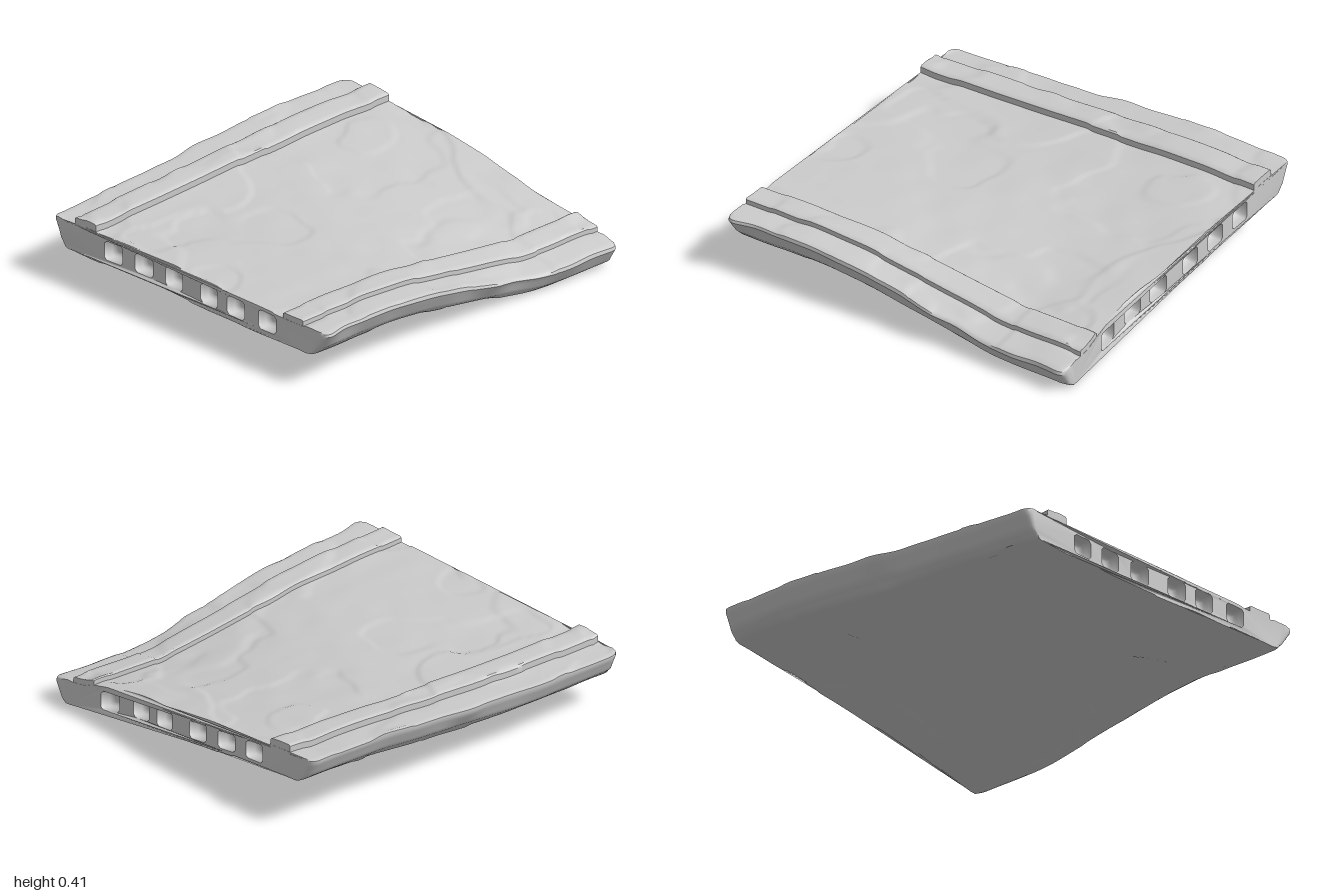
import * as THREE from 'three';
import { toCreasedNormals } from 'three/addons/utils/BufferGeometryUtils.js';

const { smoothstep, lerp } = THREE.MathUtils;
const V = (x, y) => new THREE.Vector2(x, y);

// Smooth seeded value noise, 0..1
function hash(i, j, seed) {
  const s = Math.sin(i * 127.1 + j * 311.7 + seed * 74.7) * 43758.5453;
  return s - Math.floor(s);
}
function noise(x, z, seed) {
  const i = Math.floor(x), j = Math.floor(z);
  const u = smoothstep(x - i, 0, 1), v = smoothstep(z - j, 0, 1);
  return lerp(lerp(hash(i, j, seed), hash(i + 1, j, seed), u),
    lerp(hash(i, j + 1, seed), hash(i + 1, j + 1, seed), u), v);
}

// Worn stone: broad swells plus two sets of sharp, ragged ledges
function relief(x, z, seed) {
  const swell = noise(x * 2.5, z * 2.5, seed) - 0.5;
  const fine = noise(x * 7, z * 7, seed + 3) - 0.5;
  const ledge = (f, k) => {
    const field = noise(x * f + z * 0.6 + fine * 0.5, z * f - x * 0.6 + fine * 0.3, seed + k);
    return smoothstep(field, 0.48, 0.54) - 0.5;
  };
  return swell * 0.01 + fine * 0.007 + ledge(1.8, 5) * 0.008 + ledge(3.4, 6) * 0.006;
}

// Amount of twist along the length, from the level front to the tilted back
const twistCurve = [[-1, 0.97], [-0.6, 1], [-0.3, 0.76], [0, 0.48], [0.25, 0.24], [0.5, 0.1], [1, 0]];
function twist(z) {
  let k = 0;
  while (k < twistCurve.length - 2 && z > twistCurve[k + 1][0]) k++;
  const at = (n) => twistCurve[Math.min(Math.max(n, 0), twistCurve.length - 1)];
  const [z0, a] = at(k), [z1, b] = at(k + 1);
  const slope = (n) => (at(n + 1)[1] - at(n - 1)[1]) / (at(n + 1)[0] - at(n - 1)[0]);
  const h = z1 - z0, u = THREE.MathUtils.clamp((z - z0) / h, 0, 1), w = 1 - u;
  return w * w * (1 + 2 * u) * a + u * u * (3 - 2 * u) * b
    + h * u * w * (w * slope(k) - u * slope(k + 1));
}

// Bends a point of the straight slab into the worn, twisted one
function warp(x, y, z) {
  const side = Math.sign(x), outer = smoothstep(Math.abs(x), 0.82, 0.95);
  const r = 0.05, e = Math.max(0, Math.abs(z) - 1 + r);
  const inset = r - Math.sqrt(Math.max(0, r * r - e * e));
  const skin = smoothstep(Math.abs(y - 0.23), 0.04, 0.07);
  const chips = (noise(z * 6, y * 7, side + 20) - 0.5) * 0.026;
  const flare = side > 0 ? 0.016 * z * z : 0;
  const px = x - 0.02 * (1 - z * z) - side * outer * (inset * 0.8 - chips - flare);
  const py = y + twist(z) * (-0.02 - 0.14 * x - 0.035 * x * x) + skin * relief(x, z, y > 0.23 ? 1 : 9);
  const dip = z < 0 ? 0.03 * Math.exp(-(((x - 0.4) / 0.22) ** 2)) : 0.02 * Math.exp(-(((x + 0.25) / 0.4) ** 2));
  return [px, py, z * (1 - dip * smoothstep(Math.abs(z), 0.6, 1))];
}

// Splits the edges of a closed outline into short steps
function subdivide(points, step) {
  const out = [];
  points.forEach((p, i) => {
    const q = points[(i + 1) % points.length];
    const n = Math.max(1, Math.round(p.distanceTo(q) / step));
    for (let k = 0; k < n; k++) out.push(p.clone().lerp(q, k / n));
  });
  return out;
}

// Sweeps counter-clockwise sections along z; caps the chosen ends
function loft(sections, zs, holes, capBack, capFront, crease = 0.7) {
  const pos = [], index = [], n = sections[0].length;
  zs.forEach((z, j) => sections[j % sections.length].forEach((p) => pos.push(...warp(p.x, p.y, z))));
  for (let j = 0; j < zs.length - 1; j++) {
    for (let i = 0; i < n; i++) {
      const a = j * n + i, b = j * n + (i + 1) % n;
      index.push(a, b, a + n, b, b + n, a + n);
    }
  }
  const cap = (section, z, front) => {
    const base = pos.length / 3;
    [section, ...holes].flat().forEach((p) => pos.push(...warp(p.x, p.y, z)));
    THREE.ShapeUtils.triangulateShape(section, holes).forEach(([a, b, c]) =>
      index.push(base + a, base + (front ? b : c), base + (front ? c : b)));
  };
  if (capBack) cap(sections[0], zs[0], false);
  if (capFront) cap(sections[(zs.length - 1) % sections.length], zs[zs.length - 1], true);
  const geo = new THREE.BufferGeometry();
  geo.setAttribute('position', new THREE.Float32BufferAttribute(pos, 3));
  geo.setIndex(index);
  return toCreasedNormals(geo, crease);
}

export function createModel() {
  const group = new THREE.Group();
  const stone = new THREE.MeshStandardMaterial({ color: 0xcccccc });
  const inside = new THREE.MeshStandardMaterial({ color: 0xcccccc, side: THREE.DoubleSide });
  const add = (name, geo, material = stone) => {
    const mesh = new THREE.Mesh(geo, material);
    mesh.name = name;
    group.add(mesh);
  };

  // Stations along the length, closer together at the rounded corners
  const zs = [];
  for (let i = 0; i <= 110; i++) zs.push(-0.95 + 1.9 * i / 110);
  const ends = [0.965, 0.98, 0.99, 0.997, 1];
  zs.unshift(...ends.map((z) => -z).reverse());
  zs.push(...ends);

  // Rounded square mouths of the hollow cores
  const core = (cx, s) => {
    const w = 0.061 * s, h = 0.05 * s, c = 0.014 * s;
    return [[-w + c, -h], [w - c, -h], [w, -h + c], [w, h - c], [w - c, h], [-w + c, h], [-w, h - c], [-w, -h + c]]
      .map(([x, y]) => V(cx + x, 0.23 + y));
  };
  const coreX = [-0.525, -0.32, -0.11, 0.145, 0.335, 0.555];

  // Slab with sloping sides
  const outline = [[-0.86, 0.165], [-0.83, 0.158], [0.83, 0.158], [0.87, 0.165], [0.905, 0.2], [0.95, 0.28],
    [0.945, 0.295], [0.93, 0.3], [-0.93, 0.3], [-0.945, 0.295], [-0.945, 0.28], [-0.905, 0.2]]
    .map(([x, y]) => V(x, y));
  add('slab', loft([subdivide(outline, 0.02)], zs, coreX.map((x) => core(x, 1)), true, true));

  // Scooped blind pockets at both ends
  const depths = [0.93, 0.935, 0.95, 0.975, 1], scales = [0.5, 0.72, 0.87, 0.95, 1];
  coreX.forEach((x) => {
    const rings = scales.map((s) => core(x, s));
    add('frontCore', loft(rings, depths, [], true, false, 1.2), inside);
    add('backCore', loft([...rings].reverse(), depths.map((d) => -d).reverse(), [], false, true, 1.2), inside);
  });

  // Raised curbs along both sides
  for (const [name, x, top] of [['leftCurb', 0.735, 0.33], ['rightCurb', -0.715, 0.338]]) {
    const w = 0.071;
    const section = [V(x - w, 0.27), V(x + w, 0.27), V(x + w, top - 0.006), V(x + w - 0.008, top),
      V(x - w + 0.008, top), V(x - w, top - 0.006)];
    add(name, loft([subdivide(section, 0.025)], zs.map((z) => z * 0.999), [], true, true));
  }

  // Rest on the ground
  const box = new THREE.Box3().setFromObject(group);
  group.children.forEach((m) => m.geometry.translate(0, -box.min.y, 0));
  return group;
}
